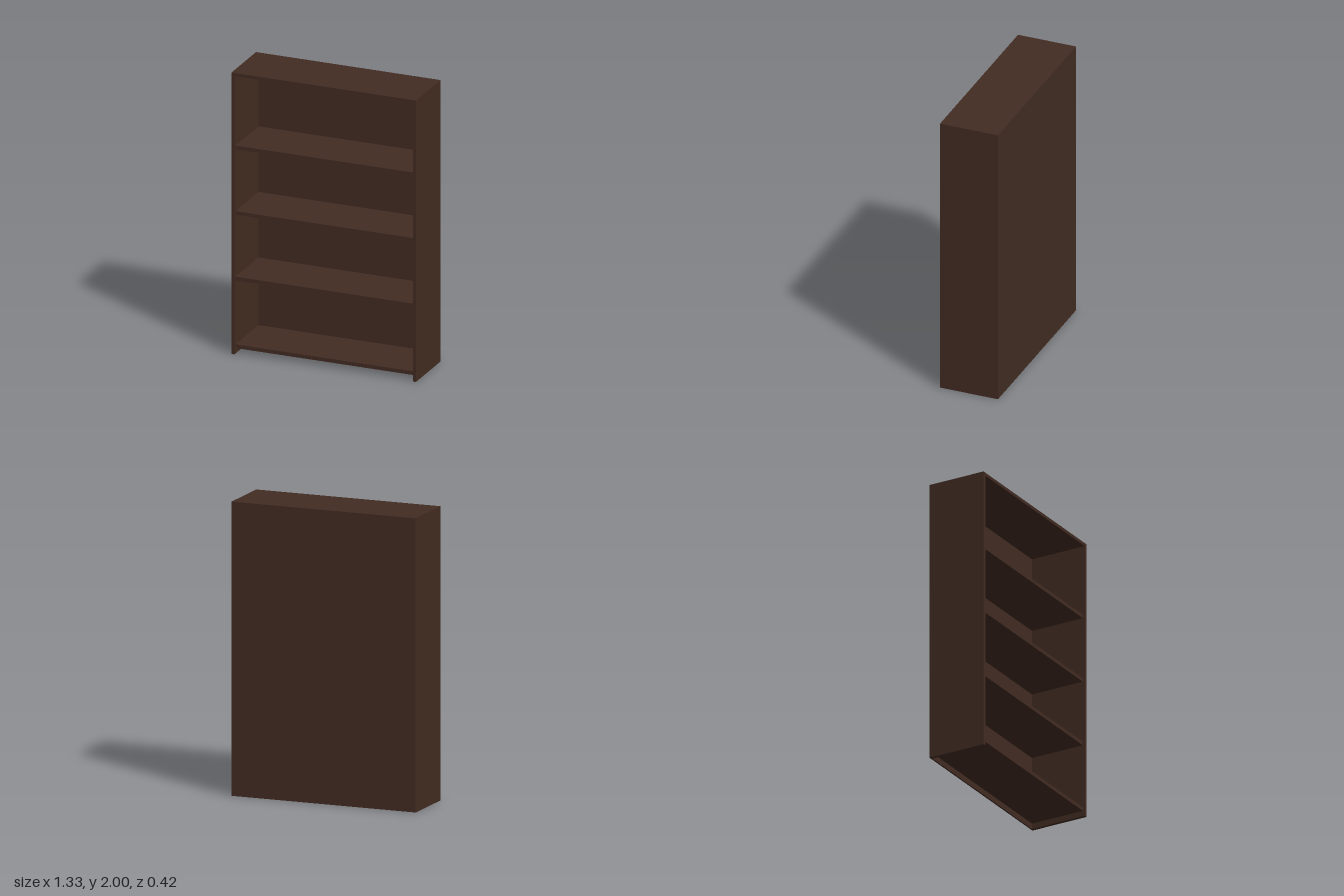
import * as THREE from 'three';

const W = 0.667, H = 2, D = 0.209; // half width, height, half depth
const SIDE = 0.022, BACK = 0.01, RECESS = 0.015;

export function createModel() {
  const group = new THREE.Group();
  group.name = 'bookcase';
  const wood = new THREE.MeshStandardMaterial({ color: 0x422c22 });
  wood.name = 'dark brown wood';

  const add = (name, geometry, x, y, z) => {
    const mesh = new THREE.Mesh(geometry, wood);
    mesh.name = name;
    mesh.position.set(x, y, z);
    group.add(mesh);
  };

  // Sides and top board as one continuous frame, open at the floor
  const inner = W - SIDE, innerTop = H - SIDE;
  const outline = new THREE.Shape([
    [-W, 0], [-inner, 0], [-inner, innerTop], [inner, innerTop],
    [inner, 0], [W, 0], [W, H], [-W, H],
  ].map(([x, y]) => new THREE.Vector2(x, y)));
  add('frame', new THREE.ExtrudeGeometry(outline, { depth: 2 * D - BACK, bevelEnabled: false }),
    0, 0, -D + BACK);

  // Thin panel closing the whole back
  add('backPanel', new THREE.BoxGeometry(2 * W, H, BACK), 0, H / 2, -D + BACK / 2);

  // Base shelf and three upper shelves, set slightly behind the front edge
  const depth = 2 * D - BACK - RECESS;
  [0.053, 0.534, 1.0, 1.466].forEach((y, i) => {
    add(i === 0 ? 'baseShelf' : `shelf${i}`, new THREE.BoxGeometry(2 * inner, 0.026, depth),
      0, y, -D + BACK + depth / 2);
  });

  return group;
}
